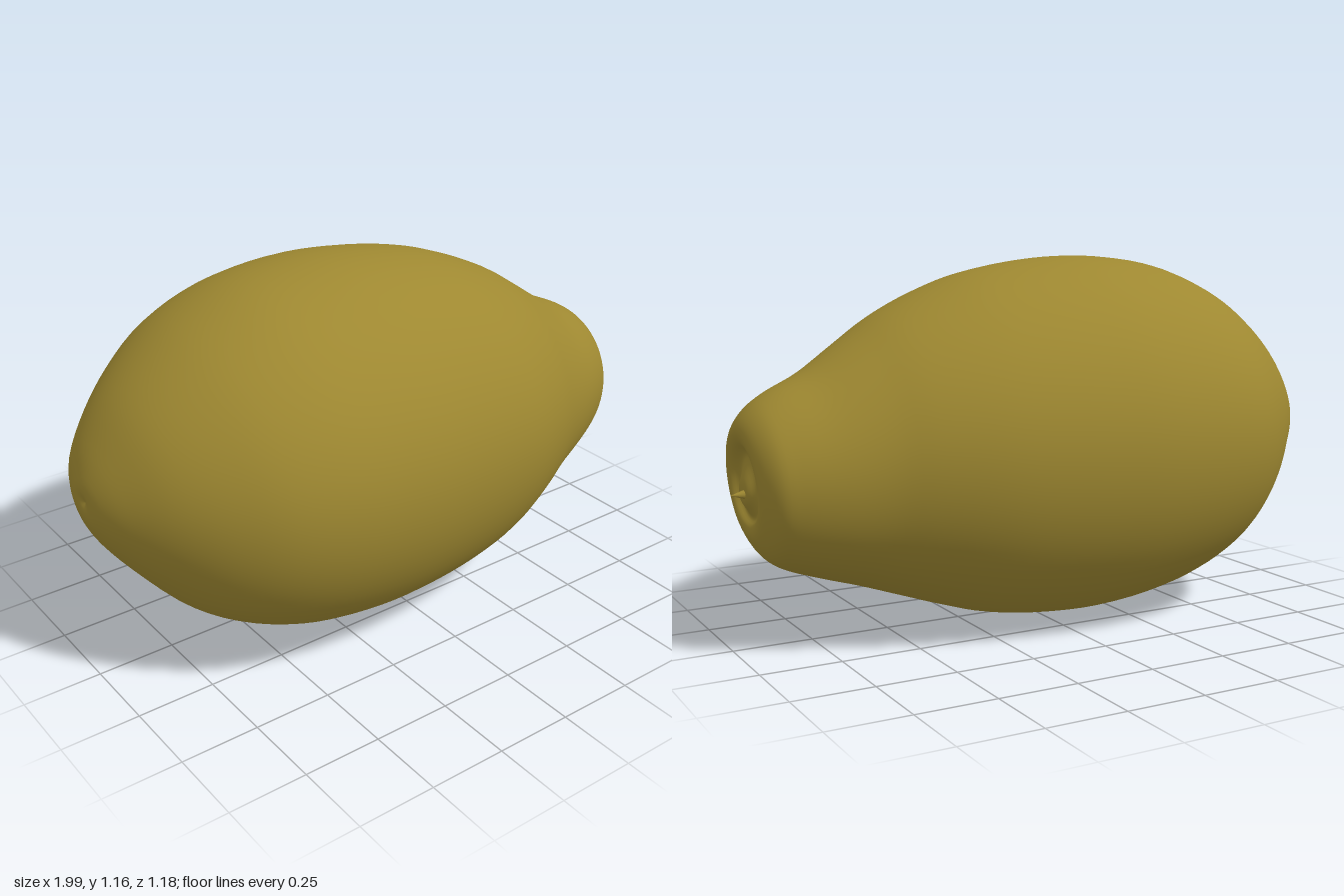
import * as THREE from 'three';

// Cross-sections along the fruit: x, top y, bottom y, back z, front z, lean
const SECTIONS = [
  [-0.985, 0.60, 0.60, -0.01, -0.01, 0],
  [-0.995, 0.64, 0.57, -0.05, 0.03, 0],
  [-0.985, 0.685, 0.52, -0.10, 0.09, 0],
  [-0.945, 0.765, 0.44, -0.20, 0.18, 0],
  [-0.86, 0.885, 0.33, -0.30, 0.31, 0],
  [-0.74, 0.99, 0.20, -0.42, 0.43, 0],
  [-0.60, 1.075, 0.11, -0.52, 0.52, 0],
  [-0.42, 1.14, 0.043, -0.575, 0.57, 0],
  [-0.20, 1.165, 0.008, -0.595, 0.583, 0],
  [0.00, 1.155, 0.006, -0.58, 0.57, 0],
  [0.20, 1.12, 0.03, -0.545, 0.542, 0],
  [0.35, 1.07, 0.073, -0.505, 0.505, 0],
  [0.50, 1.00, 0.125, -0.445, 0.435, 0],
  [0.62, 0.923, 0.167, -0.385, 0.365, 0],
  [0.75, 0.835, 0.207, -0.33, 0.297, 0.01],
  [0.86, 0.78, 0.245, -0.28, 0.24, 0.03],
  [0.92, 0.735, 0.285, -0.245, 0.20, 0.06],
  [0.955, 0.68, 0.34, -0.18, 0.15, 0.09],
  [0.952, 0.635, 0.375, -0.13, 0.125, 0.08],
  [0.93, 0.60, 0.40, -0.10, 0.10, 0.04],
  [0.935, 0.57, 0.42, -0.07, 0.075, 0],
  [0.955, 0.52, 0.45, -0.04, 0.035, 0],
  [0.96, 0.48, 0.48, 0, 0, 0],
];
const AROUND = 72, STEPS = 4;

// Smooth skin lofted through the cross-sections
function loftSkin() {
  const curve = (a, b, c) => new THREE.CatmullRomCurve3(
    SECTIONS.map(s => new THREE.Vector3(s[a], s[b], s[c])), false, 'catmullrom', 0.5);
  const height = curve(0, 1, 2), width = curve(5, 3, 4);
  const rings = (SECTIONS.length - 1) * STEPS;
  const positions = [], index = [];
  for (let i = 0; i <= rings; i++) {
    const h = height.getPoint(i / rings), w = width.getPoint(i / rings);
    const cy = (h.y + h.z) / 2, ry = (h.y - h.z) / 2;
    const cz = (w.y + w.z) / 2, rz = (w.z - w.y) / 2;
    for (let j = 0; j < AROUND; j++) {
      const a = j / AROUND * Math.PI * 2;
      // faint lobes, vanishing at the four measured extremes
      const lobe = 1 + 0.01 * Math.sin(2 * a) ** 2 * (Math.sin(a) < 0 ? 1 : -0.5);
      const dy = Math.sin(a) * ry * lobe;
      positions.push(h.x + w.x * dy, cy + dy, cz + Math.cos(a) * rz * lobe);
      if (i < rings) {
        const p = i * AROUND + j, q = i * AROUND + (j + 1) % AROUND;
        index.push(p, p + AROUND, q, q, p + AROUND, q + AROUND);
      }
    }
  }
  const geometry = new THREE.BufferGeometry();
  geometry.setAttribute('position', new THREE.Float32BufferAttribute(positions, 3));
  geometry.setIndex(index);
  geometry.computeVertexNormals();
  return geometry;
}

export function createModel() {
  const model = new THREE.Group();
  model.name = 'fruit';
  const skin = new THREE.MeshStandardMaterial({ color: 0x9e8831 });
  skin.name = 'olive yellow skin';

  const body = new THREE.Mesh(loftSkin(), skin);
  body.name = 'fruitBody';
  model.add(body);

  // Tiny remnant of the stalk in the dimple
  const stalk = new THREE.Mesh(new THREE.ConeGeometry(0.02, 0.06, 12), skin);
  stalk.name = 'stalkRemnant';
  stalk.rotation.z = -Math.PI / 2;
  stalk.position.set(0.968, 0.48, -0.02);
  model.add(stalk);
  return model;
}
